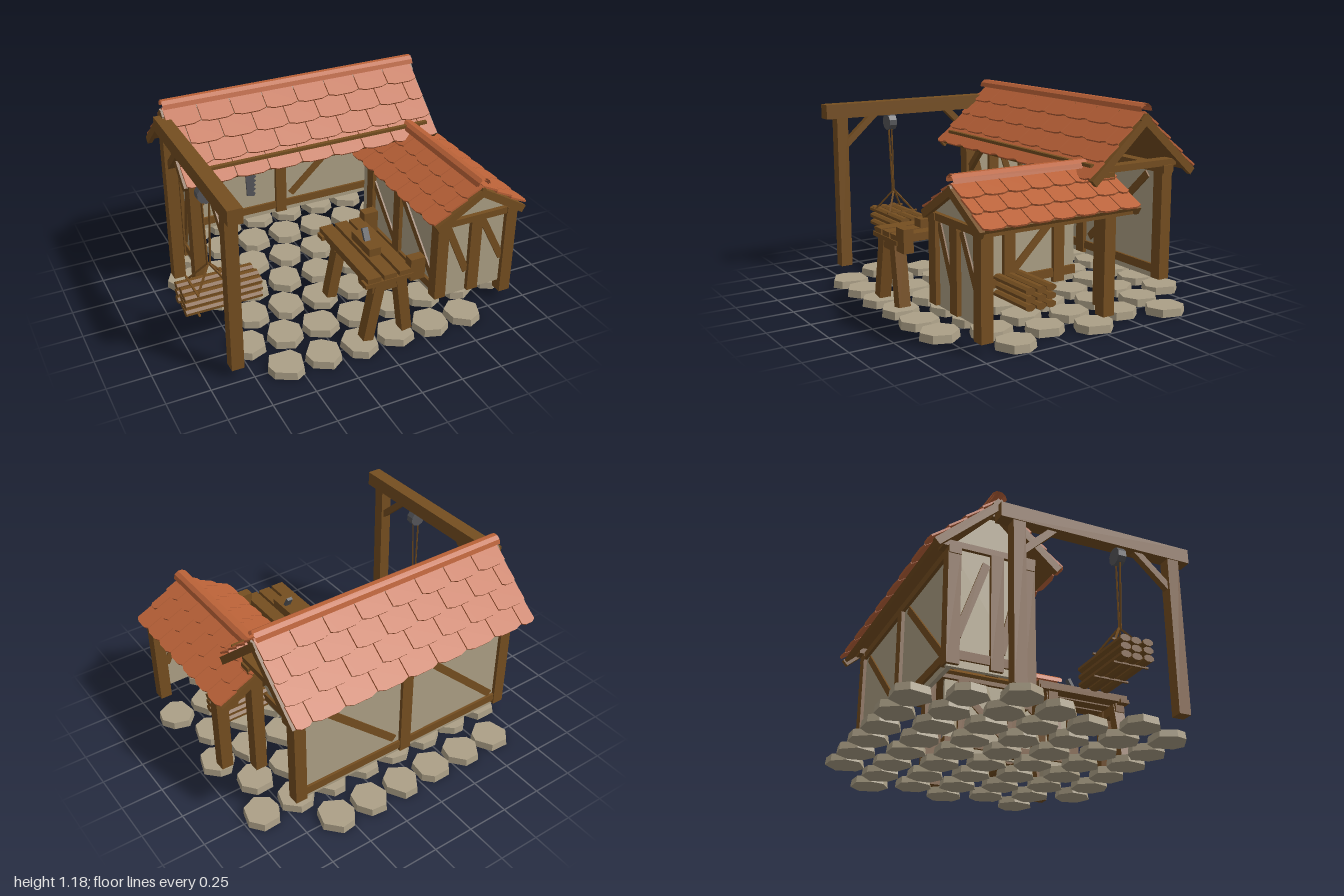
import * as THREE from 'three';

const flat = (name, color, side = THREE.FrontSide) => {
  const m = new THREE.MeshStandardMaterial({ color, flatShading: true, side });
  m.name = name;
  return m;
};

export function createModel() {
  const wood = flat('timber', 0x754e20);
  const plaster = flat('plaster', 0xada085);
  const tile = flat('terracotta', 0xbb6238, THREE.DoubleSide);
  const stone = flat('stone', 0xaca087);
  const iron = flat('iron', 0x55565a);

  const model = new THREE.Group();
  const part = (name, parent = model) => {
    const g = new THREE.Group();
    g.name = name;
    parent.add(g);
    return g;
  };
  const add = (g, name, geo, mat) => {
    const m = new THREE.Mesh(geo, mat);
    m.name = name;
    g.add(m);
    return m;
  };
  // Box given by its limits on each axis
  const box = (g, name, mat, x0, x1, y0, y1, z0, z1) => {
    const m = add(g, name, new THREE.BoxGeometry(x1 - x0, y1 - y0, z1 - z0), mat);
    m.position.set((x0 + x1) / 2, (y0 + y1) / 2, (z0 + z1) / 2);
    return m;
  };
  const post = (g, name, x, z, y0, y1, w = 0.072) =>
    box(g, name, wood, x - w / 2, x + w / 2, y0, y1, z - w / 2, z + w / 2);
  // Square timber between two points
  const beam = (g, name, a, b, w = 0.04, h = w, mat = wood) => {
    const p = new THREE.Vector3(...a), q = new THREE.Vector3(...b);
    const m = add(g, name, new THREE.BoxGeometry(w, h, p.distanceTo(q)), mat);
    m.position.copy(p).add(q).multiplyScalar(0.5);
    m.lookAt(q);
    return m;
  };
  const shapeOf = (pts) => new THREE.Shape(pts.map((p) => new THREE.Vector2(...p)));
  const extrude = (pts, depth) =>
    new THREE.ExtrudeGeometry(shapeOf(pts), { depth, bevelEnabled: false }).translate(0, 0, -depth / 2);

  // Paving: staggered rows of uneven seven-sided slabs
  let seed = 7;
  const rand = () => (seed = (seed * 16807) % 2147483647) / 2147483647;
  const paving = part('paving');
  const rows = [[-0.76, -0.57, 6], [-0.505, -0.69, 8], [-0.25, -0.8, 8], [0, -0.69, 8],
    [0.25, -0.57, 7], [0.505, -0.69, 8], [0.76, -0.57, 6]];
  for (const [z, x0, n] of rows) {
    for (let i = 0; i < n; i++) {
      const pts = [];
      for (let k = 0; k < 7; k++) {
        const a = ((k + rand() * 0.45) / 7) * Math.PI * 2, r = 0.112 + rand() * 0.012;
        pts.push([Math.cos(a) * r * 0.93, Math.sin(a) * r]);
      }
      const geo = extrude(pts, 0.044).rotateX(-Math.PI / 2);
      const p = geo.attributes.position;
      for (let k = 0; k < p.count; k++) {
        const s = p.getY(k) > 0 ? 0.95 : 1;
        p.setXYZ(k, p.getX(k) * s, p.getY(k), p.getZ(k) * s);
      }
      add(paving, 'pavingStone', geo, stone).position.set(x0 + i * 0.225, 0.022, z);
    }
  }

  // Tiled gable roof, ridge along local x, apex at the origin
  const roof = (name, length, half, drop, nRows, nTiles) => {
    const g = part(name);
    const len = Math.hypot(half, drop), pitch = len / nRows, tw = length / nTiles;
    for (const s of [0, 1]) {
      const turn = part('roofSide', g);
      turn.rotation.y = s * Math.PI;
      const slope = part('slope', turn);
      slope.rotation.x = Math.atan2(drop, half);
      box(slope, 'boarding', wood, -length / 2, length / 2, -0.04, -0.018, 0, len - 0.01);
      for (const e of [-1, 1]) {
        const c = e * (length / 2 - 0.005);
        box(slope, 'bargeBoard', wood, c - 0.015, c + 0.015, -0.06, -0.015, 0, len);
      }
      for (let r = 0; r < nRows; r++) {
        const shift = r % 2 ? tw / 2 : 0;
        for (let i = 0; i < nTiles + (r % 2); i++) {
          const x0 = Math.max(-length / 2, -length / 2 + i * tw - shift) + 0.003;
          const x1 = Math.min(length / 2, -length / 2 + (i + 1) * tw - shift) - 0.003;
          const w = (x1 - x0) / 2, c = Math.min(0.045, w * 0.5), l = pitch * 1.1;
          const geo = extrude([[-w, 0], [-w, -l + 0.014], [-w + c, -l], [w - c, -l], [w, -l + 0.014], [w, 0]], 0.011);
          const t = add(slope, 'roofTile', geo.rotateX(-Math.PI / 2), tile);
          t.position.set((x0 + x1) / 2, -0.008, r * pitch);
          t.rotation.x = -0.1;
        }
      }
    }
    for (const r of [0.045, 0.034]) {
      const cap = new THREE.CylinderGeometry(r, r, length, 5, 1, true, 0, Math.PI).rotateZ(Math.PI / 2);
      add(g, 'ridgeCap', cap, tile);
    }
    return g;
  };
  roof('mainRoof', 1.63, 0.375, 0.336, 4, 8).position.set(-0.005, 1.136, -0.39);
  const sideRoof = roof('sideRoof', 0.99, 0.305, 0.182, 3, 7);
  sideRoof.position.set(0.648, 0.838, 0.245);
  sideRoof.rotation.y = Math.PI / 2;

  // Main shed: posts, beams, plaster walls and braces
  const shed = part('mainShed');
  for (const x of [-0.727, -0.005, 0.712]) post(shed, 'backPost', x, -0.615, 0.14, 0.81);
  for (const x of [-0.727, 0.712]) {
    post(shed, 'frontPost', x, -0.19, 0.05, 0.81);
    box(shed, 'tieBeam', wood, x - 0.036, x + 0.036, 0.805, 0.842, -0.68, -0.15);
  }
  post(shed, 'gablePost', -0.727, -0.373, 0.14, 0.81);
  box(shed, 'frontPlate', wood, -0.77, 0.76, 0.765, 0.81, -0.225, -0.155);
  box(shed, 'backPlate', wood, -0.77, 0.76, 0.765, 0.81, -0.65, -0.58);
  box(shed, 'eaveBatten', wood, -0.75, 0.76, 0.85, 0.868, -0.08, -0.055);
  box(shed, 'ridgeBeam', wood, -0.78, 0.77, 1.04, 1.08, -0.41, -0.37);
  box(shed, 'backWall', plaster, -0.73, 0.71, 0.13, 0.79, -0.63, -0.605);
  box(shed, 'backSill', wood, -0.73, 0.71, 0.165, 0.215, -0.645, -0.59);
  const gable = extrude([[0.2, 0.13], [0.64, 0.13], [0.64, 0.82], [0.6, 0.85], [0.39, 1.06], [0.2, 0.88]], 0.024);
  add(shed, 'leftWall', gable.rotateY(Math.PI / 2), plaster).position.x = -0.73;
  box(shed, 'leftSill', wood, -0.755, -0.7, 0.17, 0.22, -0.62, -0.2);
  beam(shed, 'backBrace', [-0.66, 0.23, -0.617], [-0.12, 0.74, -0.617], 0.045);
  beam(shed, 'backBrace', [0.07, 0.25, -0.617], [0.6, 0.74, -0.617], 0.045);
  beam(shed, 'leftBrace', [-0.73, 0.75, -0.22], [-0.73, 0.25, -0.345], 0.045);
  beam(shed, 'leftBrace', [-0.73, 0.75, -0.43], [-0.73, 0.3, -0.59], 0.045);
  beam(shed, 'frontBrace', [-0.7, 0.61, -0.19], [-0.54, 0.78, -0.19], 0.035);

  // Side lean-to with plaster on its front and left, open on the right
  const annex = part('sideShed');
  for (const [x, z, y] of [[0.42, 0.688, 0.14], [0.64, 0.688, 0.14], [0.875, 0.688, 0.06],
    [0.875, -0.08, 0.06], [0.42, 0.255, 0.14], [0.42, -0.08, 0.14]]) post(annex, 'sidePost', x, z, y, 0.62);
  for (const x of [0.42, 0.875]) box(annex, 'sidePlate', wood, x - 0.036, x + 0.036, 0.605, 0.645, -0.24, 0.73);
  box(annex, 'frontTie', wood, 0.385, 0.91, 0.605, 0.645, 0.652, 0.724);
  const front = extrude([[0.4, 0.13], [0.88, 0.13], [0.88, 0.645], [0.648, 0.785], [0.4, 0.645]], 0.024);
  add(annex, 'frontWall', front, plaster).position.z = 0.685;
  box(annex, 'innerWall', plaster, 0.408, 0.432, 0.13, 0.62, -0.2, 0.68);
  box(annex, 'innerSill', wood, 0.39, 0.45, 0.17, 0.22, -0.2, 0.66);
  beam(annex, 'frontBrace', [0.46, 0.59, 0.685], [0.6, 0.27, 0.685], 0.042);
  beam(annex, 'frontBrace', [0.69, 0.59, 0.685], [0.84, 0.3, 0.685], 0.042);
  for (const z of [0.65, 0.22]) beam(annex, 'innerBrace', [0.42, 0.25, z], [0.42, 0.59, z - 0.35], 0.045);

  // Stacks of nine squared logs
  const logs = (name, x0, x1, y, z) => {
    const g = part(name);
    for (let r = 0; r < 3; r++) {
      for (let c = 0; c < 3; c++) {
        const geo = new THREE.CylinderGeometry(0.034, 0.034, x1 - x0, 8).rotateX(0).rotateY(Math.PI / 8).rotateZ(Math.PI / 2);
        const m = add(g, 'log', geo, wood);
        m.scale.set(1, 0.6, 0.95);
        m.position.set((x0 + x1) / 2 + (c === 1 ? 0.006 : 0), y + (r - 1) * 0.046, z + (c - 1) * 0.068);
      }
    }
    return g;
  };
  logs('storedLogs', 0.42, 0.75, 0.18, 0.25);
  logs('hangingLogs', -1, -0.55, 0.305, 0.31);

  // Hoist beside the shed: posts, beam, pulley and ropes
  const hoist = part('hoist');
  const hx = -0.828;
  box(hoist, 'hoistBeam', wood, -0.87, -0.786, 0.995, 1.083, -0.4, 0.78);
  for (const z of [0.675, -0.29]) post(hoist, 'hoistPost', hx, z, 0.05, 1.0);
  beam(hoist, 'hoistBrace', [hx, 0.82, 0.65], [hx, 1.01, 0.44], 0.04);
  beam(hoist, 'hoistBrace', [hx, 0.82, -0.27], [hx, 1.01, -0.07], 0.04);
  const wheel = new THREE.CylinderGeometry(0.052, 0.052, 0.05, 10).rotateX(Math.PI / 2);
  add(hoist, 'pulley', wheel, iron).position.set(hx, 0.945, 0.332);
  for (const s of [-1, 1]) {
    beam(hoist, 'rope', [hx + s * 0.022, 0.93, 0.332], [hx + s * 0.008, 0.49, 0.32], 0.009);
    for (const z of [0.22, 0.4]) beam(hoist, 'sling', [hx, 0.5, 0.315], [hx + s * 0.1, 0.36, z], 0.01);
    for (const y of [0.238, 0.37])
      box(hoist, 'slingLoop', wood, hx + s * 0.1 - 0.006, hx + s * 0.1 + 0.006, y - 0.005, y + 0.005, 0.205, 0.415);
  }

  // Workbench with splayed legs, and a hand plane on top
  const bench = part('workbench');
  for (const [a, b] of [[-0.1, -0.018], [0, 0.078], [0.095, 0.175]]) box(bench, 'benchPlank', wood, a, b, 0.425, 0.47, 0.2, 0.805);
  for (const z of [0.31, 0.77]) {
    beam(bench, 'benchLeg', [-0.018, 0.43, z], [-0.088, 0.06, z], 0.07, 0.062);
    beam(bench, 'benchLeg', [0.108, 0.43, z], [0.158, 0.06, z], 0.07, 0.062);
    box(bench, 'benchRail', wood, -0.07, 0.14, 0.37, 0.425, z - 0.03, z + 0.03);
  }
  for (const z of [0.23, 0.775]) {
    box(bench, 'benchCrossbar', wood, -0.115, 0.18, 0.415, 0.44, z - 0.025, z + 0.035);
    box(bench, 'viceBlock', wood, 0.165, 0.255, 0.385, 0.52, z - 0.03, z + 0.03);
  }
  box(bench, 'planeBody', wood, 0.012, 0.085, 0.47, 0.518, 0.39, 0.61);
  beam(bench, 'planeBlade', [0.048, 0.5, 0.52], [0.048, 0.58, 0.475], 0.036, 0.02, iron);

  // Saw and racks on the back wall
  const rack = part('toolRack');
  box(rack, 'toolRail', wood, -0.41, -0.09, 0.692, 0.728, -0.56, -0.52);
  for (const y of [0.685, 0.615]) box(rack, 'rackBlock', wood, -0.08, 0.04, y, y + 0.04, -0.585, -0.5);
  const saw = [[-0.19, 0.665], [-0.262, 0.665], [-0.272, 0.6], [-0.262, 0.34], [-0.215, 0.33]];
  for (let i = 0; i < 9; i++) {
    const y = 0.35 + i * 0.03, x = -0.212 + i * 0.002;
    saw.push([x + 0.008, y], [x - 0.008, y + 0.015]);
  }
  add(rack, 'sawBlade', extrude(saw, 0.012), iron).position.z = -0.54;
  box(rack, 'sawHandle', wood, -0.262, -0.195, 0.64, 0.7, -0.555, -0.525);
  return model;
}
